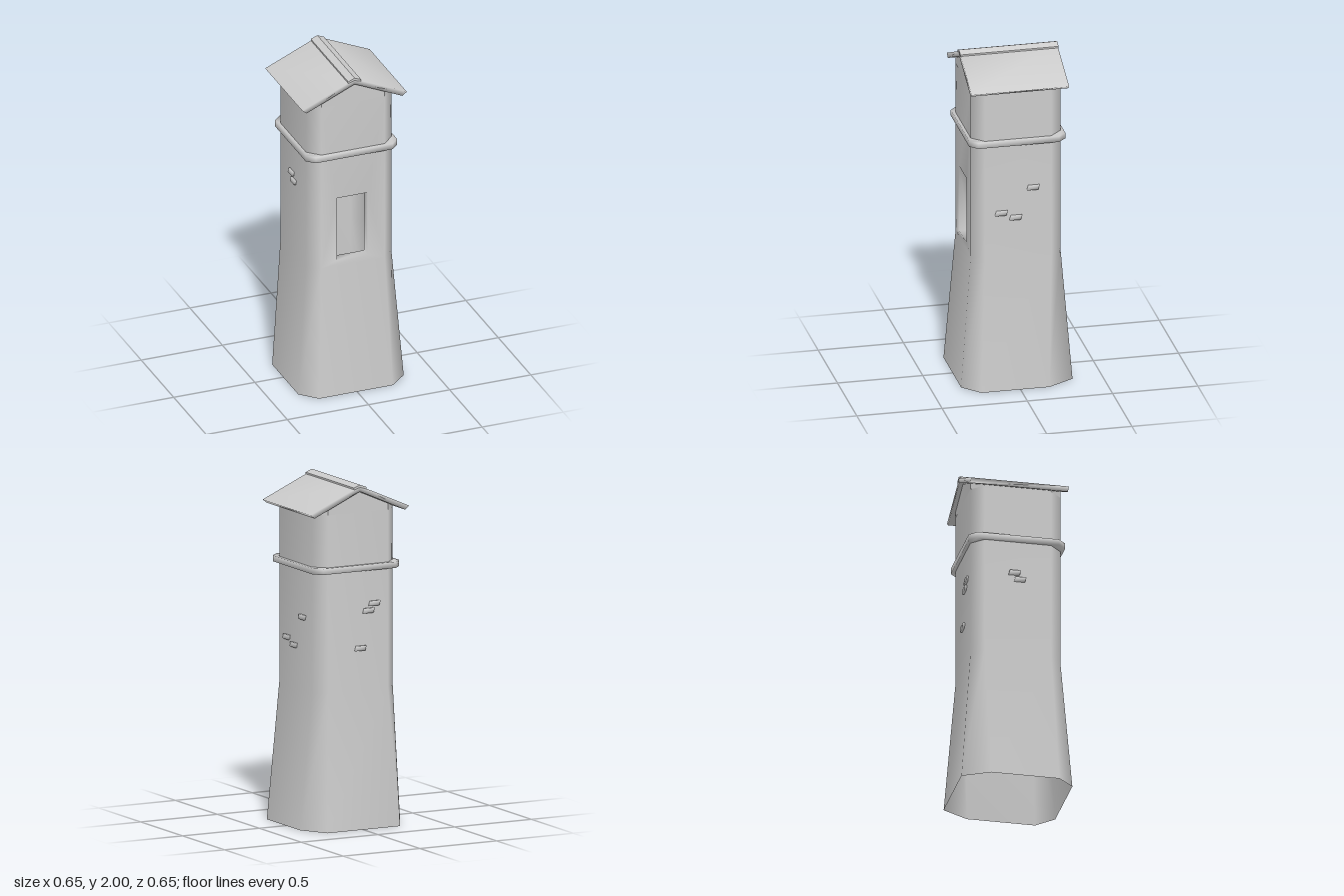
import * as THREE from 'three';
import { mergeVertices, mergeGeometries } from 'three/addons/utils/BufferGeometryUtils.js';

const H = 0.263; // half width of the upper shaft

// Shared vertices give soft normals across edges
function smooth(geo) {
  geo.deleteAttribute('normal');
  geo.deleteAttribute('uv');
  const g = mergeVertices(geo, 1e-4);
  g.computeVertexNormals();
  return g;
}

// Joins rings of [x, y, z] points, skipping the quads named by skip(level, side)
function loft(rings, skip = () => false) {
  const pos = [];
  for (let l = 0; l < rings.length - 1; l++) {
    const lo = rings[l], hi = rings[l + 1], n = lo.length;
    for (let i = 0; i < n; i++) {
      if (skip(l, i)) continue;
      const j = (i + 1) % n;
      pos.push(...lo[i], ...lo[j], ...hi[j], ...lo[i], ...hi[j], ...hi[i]);
    }
  }
  const g = new THREE.BufferGeometry();
  g.setAttribute('position', new THREE.Float32BufferAttribute(pos, 3));
  return g;
}

// Square with cut corners; side 0 is the front
function octagon(h, cut) {
  const a = h - cut;
  return [[-a, h], [a, h], [h, a], [h, -a], [a, -h], [-a, -h], [-h, -a], [-h, a]];
}
const atHeight = (ring, y) => ring.map(([x, z]) => [x, y, z]);

export function createModel() {
  const model = new THREE.Group();
  const solid = new THREE.MeshStandardMaterial({ color: 0xcccccc });
  const shell = new THREE.MeshStandardMaterial({ color: 0xcccccc, side: THREE.DoubleSide });
  const flat = new THREE.MeshStandardMaterial({ color: 0xcccccc, side: THREE.DoubleSide, flatShading: true });
  const add = (name, geo, mat, parent = model) => {
    const mesh = new THREE.Mesh(geo, mat);
    mesh.name = name;
    parent.add(mesh);
    return mesh;
  };

  // Tower: flared, open base and straight shaft with a window opening in the front
  const base = [[-0.235, 0.325], [0.22, 0.325], [0.325, 0.23], [0.325, -0.17],
    [0.235, -0.325], [-0.24, -0.325], [-0.325, -0.17], [-0.325, 0.23]];
  const upper = octagon(H, 0.068);
  const yMid = 0.8, yTop = 1.835, e = H - 0.068;
  const walls = loft([atHeight(base, 0), atHeight(upper, yMid), atHeight(upper, yTop)],
    (l, i) => l === 1 && i === 0);

  const win = [[-0.1, 0.835], [0.09, 0.835], [0.09, 1.235], [-0.1, 1.235]];
  const toVec = (pts) => pts.map(([x, y]) => new THREE.Vector2(x, y));
  const panelShape = new THREE.Shape(toVec([[-e, yMid], [e, yMid], [e, yTop], [-e, yTop]]));
  panelShape.holes.push(new THREE.Path(toVec(win)));
  const panel = new THREE.ShapeGeometry(panelShape).translate(0, 0, H).toNonIndexed();
  panel.deleteAttribute('normal');
  panel.deleteAttribute('uv');
  const reveal = loft([win.map(([x, y]) => [x, y, H]), win.map(([x, y]) => [x, y, H - 0.06])].reverse()
    .map((r) => r.slice().reverse()));
  add('towerWalls', smooth(mergeGeometries([walls, panel, reveal])), shell);

  // String course around the shaft
  const band = octagon(0.282, 0.045);
  add('band', smooth(loft([atHeight(upper, 1.495), atHeight(band, 1.495),
    atHeight(band, 1.53), atHeight(upper, 1.53)])), shell);

  // Gable: eaves wall meeting the roof, and the triangular ends
  const roofY = (x) => 1.958 - 0.44 * Math.abs(x);
  add('eavesWall', loft([atHeight(upper, yTop), upper.map(([x, z]) => [x, roofY(x), z])],
    (l, i) => i === 0 || i === 4), flat);
  const gable = new THREE.Shape(toVec([[-e, yTop], [e, yTop], [e, roofY(e)], [0, roofY(0)], [-e, roofY(e)]]));
  add('gable', new THREE.ExtrudeGeometry(gable, { depth: 2 * H, bevelEnabled: false }).translate(0, 0, -H), flat);

  // Roof and ridge cap: chevrons extruded front to back
  const chevron = (pts, half) => {
    const shape = new THREE.Shape(toVec(pts));
    return new THREE.ExtrudeGeometry(shape, { depth: 2 * half, bevelEnabled: false }).translate(0, 0, -half);
  };
  add('roof', smooth(chevron([[-0.322, 1.85], [-0.295, 1.829], [0, 1.96], [0.295, 1.829],
    [0.322, 1.85], [0, 1.992]], 0.286)), solid);
  add('ridgeCap', chevron([[-0.04, 1.984], [-0.04, 1.972], [0, 1.985], [0.04, 1.972],
    [0.04, 1.984], [0, 2]], 0.288), flat);

  // Loose bricks set into three walls: [wall turn, offset along wall, height]
  const brickGeo = new THREE.BoxGeometry(0.065, 0.028, 0.03);
  const p = brickGeo.attributes.position;
  for (let i = 0; i < p.count; i++) p.setX(i, p.getX(i) + p.getY(i) * 0.3);
  const brick = smooth(brickGeo);
  const bricks = new THREE.Group();
  bricks.name = 'bricks';
  model.add(bricks);
  const R = Math.PI / 2;
  [[R, -0.1, 1.078], [R, -0.015, 1.045], [R, 0.087, 1.222],
    [2 * R, 0.104, 1.3], [2 * R, 0.066, 1.26], [2 * R, 0.013, 1.045],
    [-R, -0.02, 1.3], [-R, 0.012, 1.26]].forEach(([turn, along, y]) => {
    const b = add('brick', brick, solid, bricks);
    b.rotation.y = turn;
    b.position.set(along, y, 0.26).applyAxisAngle(new THREE.Vector3(0, 1, 0), turn);
  });

  return model;
}
